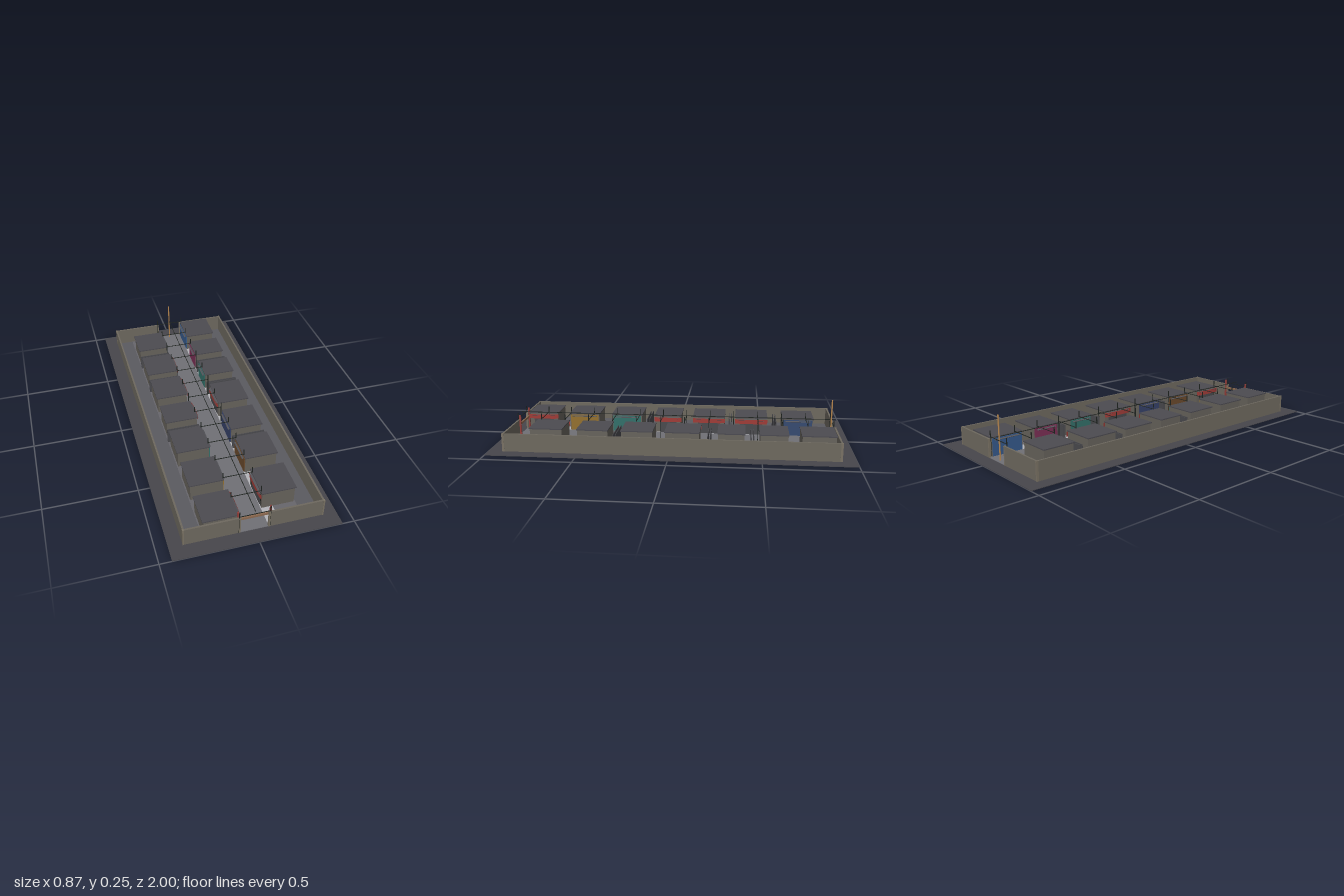
import * as THREE from 'three';

const mat = (color, side = THREE.FrontSide) =>
  new THREE.MeshStandardMaterial({ color, side });
const M = {
  ground: mat(0x47464b), yard: mat(0x5b5a60), lane: mat(0x707076), pale: mat(0xb4b4b8), mid: mat(0x67666c),
  wall: mat(0x6e695f), cap: mat(0x7a7264), body: mat(0x67635c), roof: mat(0x4c4b51), fence: mat(0x4a4a4e),
  wood: mat(0xb98850), beam: mat(0x8d6a50), red: mat(0x94403c), iron: mat(0x1f2420),
  cloth: mat(0xa03c38, THREE.DoubleSide), eave: mat(0x55555a),
};

// Box given by its minimum and maximum corners
function box(parent, name, material, x0, x1, y0, y1, z0, z1) {
  const m = new THREE.Mesh(new THREE.BoxGeometry(Math.abs(x1 - x0), y1 - y0, z1 - z0), material);
  m.position.set((x0 + x1) / 2, (y0 + y1) / 2, (z0 + z1) / 2);
  m.name = name;
  parent.add(m);
  return m;
}

// Shop fronts: z start, z end, colour (null = red hanging cloth)
const ROWS = [
  { s: 1, shops: [
    [-0.905, -0.715, 0x365a8c], [-0.648, -0.489, 0x7c2f55], [-0.41, -0.257, 0x33706a], [-0.16, 0.035, null],
    [0.10, 0.28, 0x36426a], [0.35, 0.53, 0x6b4a2c], [0.61, 0.80, null]],
    fences: [-0.45, -0.21, 0.315] },
  { s: -1, shops: [
    [-0.81, -0.625, 0x364a70], [-0.54, -0.35, null], [-0.29, -0.10, null], [-0.03, 0.13, null],
    [0.205, 0.39, 0x33706a], [0.465, 0.65, 0x94702f], [0.72, 0.90, null]],
    fences: [-0.585, -0.32, 0.168] },
];

// Shallow bowed cloth hanging over a shop front
function cloth(s, z0, z1) {
  const g = new THREE.PlaneGeometry(z1 - z0, 0.026, 12, 1);
  const p = g.attributes.position;
  const half = (z1 - z0) / 2;
  for (let i = 0; i < p.count; i++) {
    const t = p.getX(i) / half;
    p.setZ(i, 0.008 * (1 - t ** 4));
  }
  g.rotateY(s > 0 ? -Math.PI / 2 : Math.PI / 2);
  g.computeVertexNormals();
  const m = new THREE.Mesh(g, M.cloth);
  m.position.set(s * 0.074, 0.085, (z0 + z1) / 2);
  m.name = 'hangingCloth';
  return m;
}

function shop(s, z0, z1, color) {
  const g = new THREE.Group();
  g.name = 'shop';
  box(g, 'shopBody', M.body, s * 0.08, s * 0.255, 0.004, 0.104, z0 + 0.004, z1 - 0.004);
  box(g, 'shopRoof', M.roof, s * 0.077, s * 0.262, 0.103, 0.109, z0, z1);
  if (color === null) {
    g.add(cloth(s, z0, z1));
    box(g, 'doorway', M.fence, s * 0.0775, s * 0.081, 0.006, 0.07, z0 + 0.03, z1 - 0.03);
  } else {
    box(g, 'shopFront', mat(color), s * 0.075, s * 0.081, 0.006, 0.1, z0 + 0.008, z1 - 0.008);
  }
  // Small sloping eave over the lane
  const e = box(g, 'eave', M.eave, s * 0.066, s * 0.08, 0.0925, 0.0945, z0 + 0.02, z1 - 0.02);
  e.rotation.z = s * 0.35;
  return g;
}

export function createModel() {
  const root = new THREE.Group();
  root.name = 'walledStreet';

  // Ground layers
  box(root, 'ground', M.ground, -0.437, 0.437, 0, 0.003, -1, 1);
  box(root, 'yard', M.yard, -0.36, 0.36, 0.002, 0.004, -0.915, 0.915);
  box(root, 'lane', M.lane, -0.075, 0.075, 0.003, 0.006, -0.92, 0.92);

  for (const { s, shops, fences } of ROWS) {
    // Paving beside the lane
    box(root, 'palePaving', M.pale, s * 0.075, s * 0.14, 0.003, 0.0055, -0.91, 0.91);
    box(root, 'innerPaving', M.mid, s * 0.14, s * 0.262, 0.003, 0.005, -0.91, 0.91);

    // Enclosing wall: long side, split ends and corner caps
    box(root, 'sideWall', M.wall, s * 0.355, s * 0.365, 0, 0.104, -0.92, 0.92);
    for (const e of [-1, 1]) {
      box(root, 'endWall', M.wall, s * 0.078, s * 0.356, 0, 0.104, e * 0.915 - 0.005, e * 0.915 + 0.005);
      box(root, 'wallPost', M.cap, s * 0.072, s * 0.08, 0, 0.105, e * 0.915 - 0.006, e * 0.915 + 0.006);
      box(root, 'cornerPost', M.cap, s * 0.358, s * 0.366, 0, 0.105, e * 0.916 - 0.006, e * 0.916 + 0.006);
    }

    shops.forEach(([z0, z1, c]) => root.add(shop(s, z0, z1, c)));

    // Paired fences in the gaps
    for (const z of fences)
      for (const d of [-0.007, 0.007])
        box(root, 'gapFence', M.fence, s * 0.076, s * 0.262, 0.004, 0.085, z + d - 0.002, z + d + 0.002);

    // Front gate post
    box(root, 'gatePost', M.red, s * 0.08, s * 0.088, 0, 0.133, 0.9, 0.91);
  }

  // Gate beam
  box(root, 'gateBeam', M.beam, -0.08, 0.08, 0.076, 0.088, 0.9, 0.908);

  // Lamp posts with cross wires along the lane
  for (let i = 0; i < 14; i++) {
    const z = i === 13 ? -0.905 : 0.918 - 0.14 * i;
    for (const s of [-1, 1])
      box(root, 'wirePost', M.iron, s * 0.078, s * 0.082, 0, 0.145, z - 0.002, z + 0.002);
    box(root, 'crossWire', M.iron, -0.08, 0.08, 0.111, 0.114, z - 0.0015, z + 0.0015);
  }
  box(root, 'overheadWire', M.iron, -0.0015, 0.0015, 0.13, 0.133, -0.92, 0.92);

  // Tall timber pole at the back entrance
  const pole = new THREE.Mesh(new THREE.CylinderGeometry(0.004, 0.004, 0.245, 10), M.wood);
  pole.position.set(0, 0.1225, -0.9);
  pole.name = 'tallPole';
  root.add(pole);

  return root;
}
